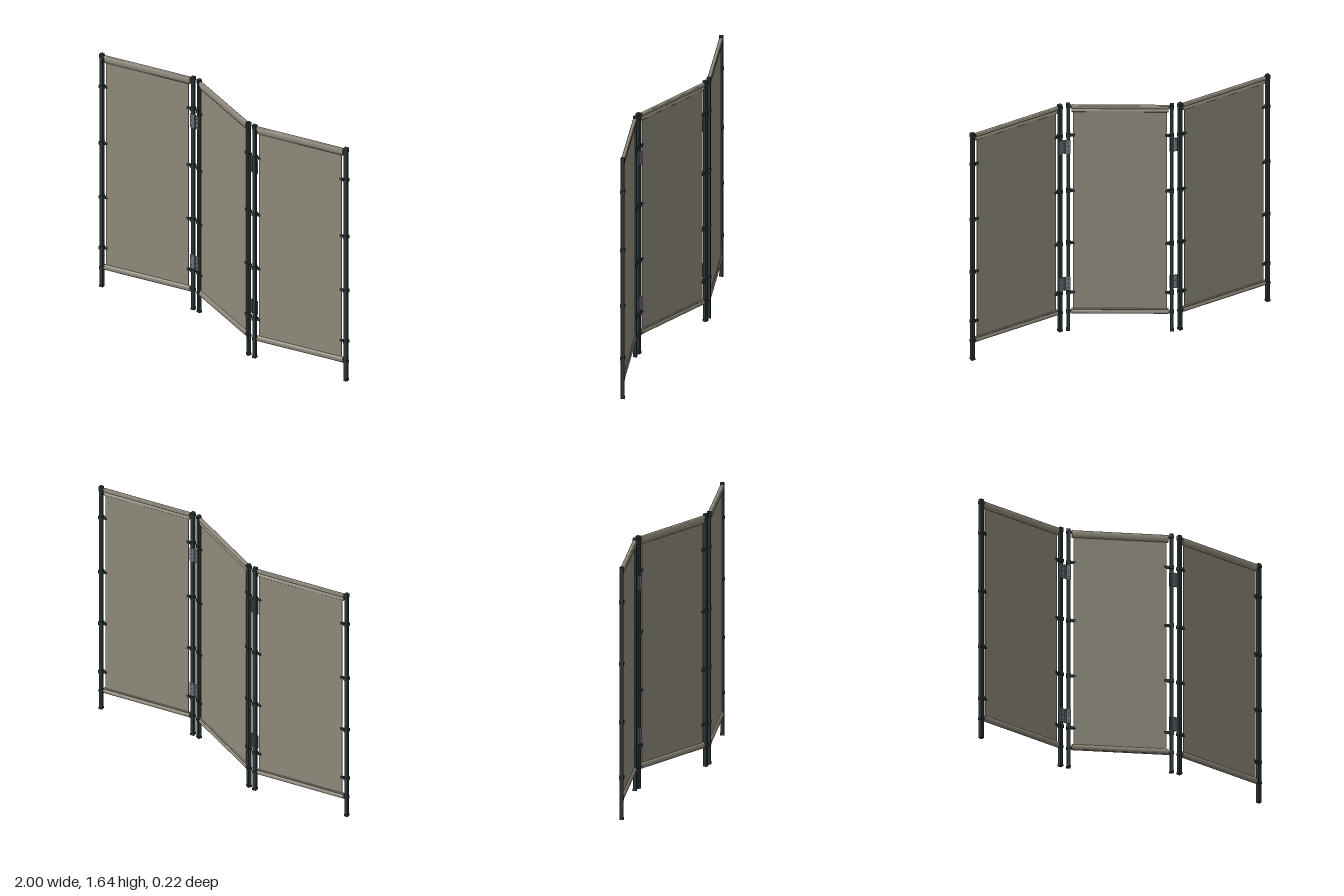
import * as THREE from 'three';
import { toCreasedNormals } from 'three/addons/utils/BufferGeometryUtils.js';

const ANGLE = 0.29;      // fold of each panel
const POST_X = 0.3235;   // post distance from the panel centre
const HEIGHT = 1.64;

const fabric = new THREE.MeshStandardMaterial({ color: 0x8f8a7c });
fabric.name = 'taupe fabric';
const darkMetal = new THREE.MeshStandardMaterial({ color: 0x2b3436 });
darkMetal.name = 'dark metal';
const hingeMetal = new THREE.MeshStandardMaterial({ color: 0x70767b });
hingeMetal.name = 'hinge steel';

function add(parent, name, geometry, material, x = 0, y = 0, z = 0) {
  const mesh = new THREE.Mesh(geometry, material);
  mesh.name = name;
  mesh.position.set(x, y, z);
  parent.add(mesh);
  return mesh;
}

const box = (w, h, d) => new THREE.BoxGeometry(w, h, d);

// Sweeps a (z, y) cross-section along x
function sweep(points, width) {
  const shape = new THREE.Shape(points.map(([z, y]) => new THREE.Vector2(z, y)));
  const geometry = new THREE.ExtrudeGeometry(shape, { depth: width, bevelEnabled: false });
  geometry.translate(0, 0, -width / 2);
  geometry.rotateY(-Math.PI / 2);
  return toCreasedNormals(geometry, 0.7);
}

// Sewn sleeve: a round pocket over the rail, then a hem flap tapering to the cloth.
// y runs from the pocket (0) towards the cloth (positive); flip mirrors it for the top.
function sleeve(flip, length) {
  const points = [];
  const r = 0.013;
  for (let i = 0; i <= 12; i++) {
    const a = -Math.PI - 0.6 + (i / 12) * (Math.PI + 0.6);
    points.push([Math.cos(a) * r, Math.sin(a) * r]);
  }
  points.push([0.011, length * 0.55], [0.008, length - 0.004], [0.003, length]);
  points.push([-0.003, length], [-0.008, length - 0.004], [-0.008, 0.019], [-0.004, 0.014]);
  return flip ? points.map(([z, y]) => [z, -y]).reverse() : points;
}

function buildPanel(name) {
  const panel = new THREE.Group();
  panel.name = name;

  // Cloth with its sleeves
  add(panel, 'cloth', box(0.586, 1.47, 0.006), fabric, 0, 0.875, 0);
  add(panel, 'topSleeve', sweep(sleeve(true, 0.038), 0.606), fabric, 0, 1.62, 0);
  add(panel, 'bottomSleeve', sweep(sleeve(false, 0.026), 0.606), fabric, 0, 0.135, 0);

  for (const s of [-1, 1]) {
    // Square post with cap and foot
    const x = s * POST_X;
    add(panel, 'post', box(0.0225, HEIGHT - 0.01, 0.0225), darkMetal, x, HEIGHT / 2, 0);
    add(panel, 'postCap', box(0.025, 0.012, 0.025), darkMetal, x, HEIGHT - 0.006, 0);
    add(panel, 'postFoot', box(0.026, 0.014, 0.026), darkMetal, x, 0.007, 0);

    // Rail ends where the sleeves meet the posts
    for (const y of [0.135, 1.62]) {
      const end = add(panel, 'railEnd', new THREE.CylinderGeometry(0.009, 0.009, 0.03, 12), darkMetal, s * 0.305, y, 0);
      end.rotation.z = Math.PI / 2;
      add(panel, 'railCollar', box(0.027, 0.018, 0.027), darkMetal, x, y, 0);
    }

    // Clips holding the cloth edge
    for (const y of [0.275, 0.632, 1.012, 1.412]) {
      const clip = new THREE.Group();
      clip.name = 'clip';
      clip.position.set(x, y, 0);
      add(clip, 'clipCollar', box(0.029, 0.022, 0.029), darkMetal);
      add(clip, 'clipArm', box(0.03, 0.016, 0.012), darkMetal, -s * 0.028, 0, 0);
      panel.add(clip);
    }
  }
  return panel;
}

// Folding hinge: two leaves, a knuckle and screw heads
function buildHinge() {
  const hinge = new THREE.Group();
  hinge.name = 'hinge';
  const knuckles = 5, h = 0.095;
  for (let i = 0; i < knuckles; i++) {
    const y = (i - (knuckles - 1) / 2) * (h / knuckles);
    add(hinge, 'knuckle', new THREE.CylinderGeometry(0.0055, 0.0055, h / knuckles - 0.001, 12), hingeMetal, 0, y, 0.003);
  }
  for (const s of [-1, 1]) {
    const leaf = new THREE.Group();
    leaf.name = 'hingeLeaf';
    leaf.position.set(s * 0.0195, 0, 0.004);
    leaf.rotation.y = -s * ANGLE;
    add(leaf, 'leafPlate', box(0.034, h, 0.004), hingeMetal);
    for (const y of [-0.03, 0, 0.03]) {
      const screw = add(leaf, 'screw', new THREE.CylinderGeometry(0.003, 0.004, 0.003, 10), hingeMetal, s * 0.004, y, 0.003);
      screw.rotation.x = Math.PI / 2;
    }
    hinge.add(leaf);
  }
  return hinge;
}

export function createModel() {
  const model = new THREE.Group();
  model.name = 'foldingScreen';

  // Three zigzag panels
  [['rightPanel', -0.673, 1], ['middlePanel', 0, -1], ['leftPanel', 0.673, 1]].forEach(([name, x, turn]) => {
    const panel = buildPanel(name);
    panel.position.x = x;
    panel.rotation.y = turn * ANGLE;
    model.add(panel);
  });

  // Hinges inside each fold, facing front on one side and back on the other
  for (const s of [-1, 1]) {
    for (const y of [0.345, 1.337]) {
      const hinge = buildHinge();
      hinge.position.set(s * 0.3365, y, s * 0.082);
      hinge.rotation.y = s > 0 ? Math.PI : 0;
      model.add(hinge);
    }
  }
  return model;
}
